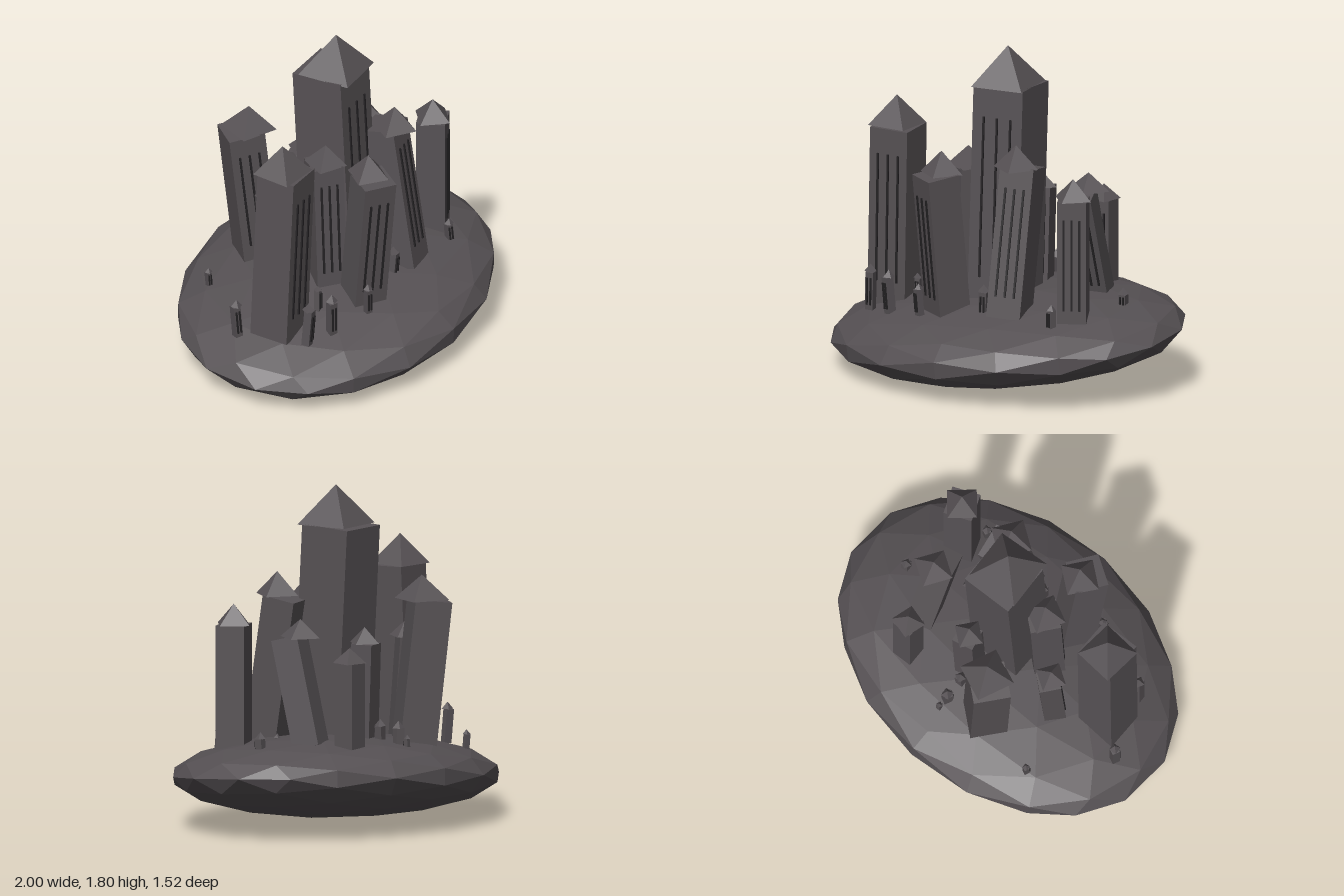
import * as THREE from 'three';

const stone = new THREE.MeshStandardMaterial({ color: 0x575255, flatShading: true });
stone.name = 'stone';
const rock = new THREE.MeshStandardMaterial({ color: 0x555053, flatShading: true });
rock.name = 'rock';
const dark = new THREE.MeshStandardMaterial({ color: 0x242224, flatShading: true });
dark.name = 'dark slits';

function part(name, geometry, material, parent) {
  const mesh = new THREE.Mesh(geometry, material);
  mesh.name = name;
  parent.add(mesh);
  return mesh;
}

// Leaning square shaft with slits on its front, under an upright pyramid roof
function tower(name, t, slitCount, parent) {
  const { x, z, y0, y1, apex, w, yaw = 0, leanX = 0, leanZ = 0, r = w * 0.71, roofYaw = 0 } = t;
  const group = new THREE.Group();
  group.name = name;
  parent.add(group);
  const h = y1 - y0;

  const body = new THREE.Group();
  body.name = 'body';
  body.position.set(x, (y0 + y1) / 2, z);
  body.rotation.set(Math.atan(leanZ), yaw, -Math.atan(leanX), 'XZY');
  group.add(body);
  part('shaft', new THREE.BoxGeometry(w, h, w), stone, body);

  const slitW = Math.min(0.011, w * 0.2);
  for (let i = 0; i < slitCount; i++) {
    const slit = part('slit', new THREE.BoxGeometry(slitW, h * 0.72, 0.009), dark, body);
    slit.position.set((i - (slitCount - 1) / 2) * w * (slitCount > 2 ? 0.27 : 0.45), 0, w / 2 + 0.003);
  }

  const roof = part('roof', new THREE.ConeGeometry(r, apex - y1, 4), stone, group);
  roof.position.set(x, (apex + y1) / 2, z);
  roof.rotation.y = roofYaw;
}

export function createModel() {
  const model = new THREE.Group();
  model.name = 'spireIsland';

  // Tilted, flattened rock
  const island = part('rockBase', new THREE.IcosahedronGeometry(1, 2), rock, model);
  island.scale.set(1.012, 0.228, 0.77);
  island.rotation.set(0.09, 0.15, 0.075, 'XZY');
  island.position.y = 0.245;

  // Large towers
  const towers = [
    { x: 0, z: 0, y0: 0.38, y1: 1.59, apex: 1.8, w: 0.295, yaw: 0.21, leanX: -0.01, leanZ: -0.055, roofYaw: -0.53 },
    { x: -0.615, z: 0.18, y0: 0.32, y1: 1.3, apex: 1.46, w: 0.222, yaw: 0.21, leanX: 0.035, leanZ: 0.02, roofYaw: -0.68 },
    { x: -0.28, z: -0.37, y0: 0.42, y1: 1.2, apex: 1.33, w: 0.2, yaw: -0.5, leanX: -0.1, leanZ: -0.05, r: 0.15, roofYaw: 0.57 },
    { x: 0.295, z: -0.44, y0: 0.44, y1: 0.92, apex: 1, w: 0.115, yaw: 0.2, r: 0.09, roofYaw: 0.7 },
    { x: 0.41, z: -0.175, y0: 0.45, y1: 1.04, apex: 1.137, w: 0.15, yaw: 0.45, leanX: 0.02, leanZ: 0.28, r: 0.115, roofYaw: 0.4 },
    { x: 0.583, z: 0.16, y0: 0.4, y1: 1.09, apex: 1.2, w: 0.156, yaw: 0.58, r: 0.112, roofYaw: 0.12 },
    { x: 0.23, z: 0.21, y0: 0.4, y1: 1.21, apex: 1.335, w: 0.19, yaw: 0.33, leanX: -0.02, leanZ: -0.17, r: 0.125, roofYaw: 0.36 },
    { x: -0.15, z: 0.37, y0: 0.37, y1: 1.15, apex: 1.273, w: 0.183, yaw: -0.38, leanX: -0.015, leanZ: 0.11, r: 0.12, roofYaw: 0.3 },
    { x: -0.19, z: 0.1, y0: 0.4, y1: 1.13, apex: 1.24, w: 0.165, yaw: -0.5, leanZ: -0.04, roofYaw: 0.5 },
    { x: -0.435, z: -0.06, y0: 0.4, y1: 0.955, apex: 1.035, w: 0.115, yaw: -0.5, leanX: -0.02, leanZ: -0.08, r: 0.09, roofYaw: 0.4 },
    { x: 0.02, z: -0.25, y0: 0.44, y1: 0.98, apex: 1.065, w: 0.12, yaw: 0.4, leanZ: -0.04, r: 0.09, roofYaw: 0.3 },
  ];
  towers.forEach((t) => tower('tower', t, 3, model));

  // Small pinnacles: x, z, bottom, apex, width
  const pinnacles = [
    [-0.835, 0.05, 0.33, 0.55, 0.042], [-0.63, 0.38, 0.32, 0.57, 0.045],
    [-0.48, 0.41, 0.33, 0.57, 0.045], [-0.415, 0.25, 0.38, 0.53, 0.03],
    [-0.24, 0.45, 0.37, 0.545, 0.035], [0.1, 0.32, 0.38, 0.57, 0.042],
    [0.553, 0.305, 0.4, 0.535, 0.036], [0.67, -0.15, 0.44, 0.555, 0.04],
    [0.39, 0.03, 0.43, 0.5, 0.025], [-0.015, -0.335, 0.45, 0.58, 0.042],
    [-0.043, -0.45, 0.43, 0.58, 0.045], [-0.05, -0.51, 0.41, 0.51, 0.024],
    [-0.6, -0.365, 0.36, 0.47, 0.028],
  ];
  pinnacles.forEach(([x, z, y0, apex, w], i) => {
    const side = i % 2 ? 1 : -1;
    tower('pinnacle', {
      x, z, y0, y1: apex - w * 0.9, apex, w, yaw: 0.25 * side,
      leanX: 0.06 * side, leanZ: i % 3 ? 0.05 : -0.05, r: w * 0.75, roofYaw: 0.5 * side,
    }, 2, model);
  });

  return model;
}
